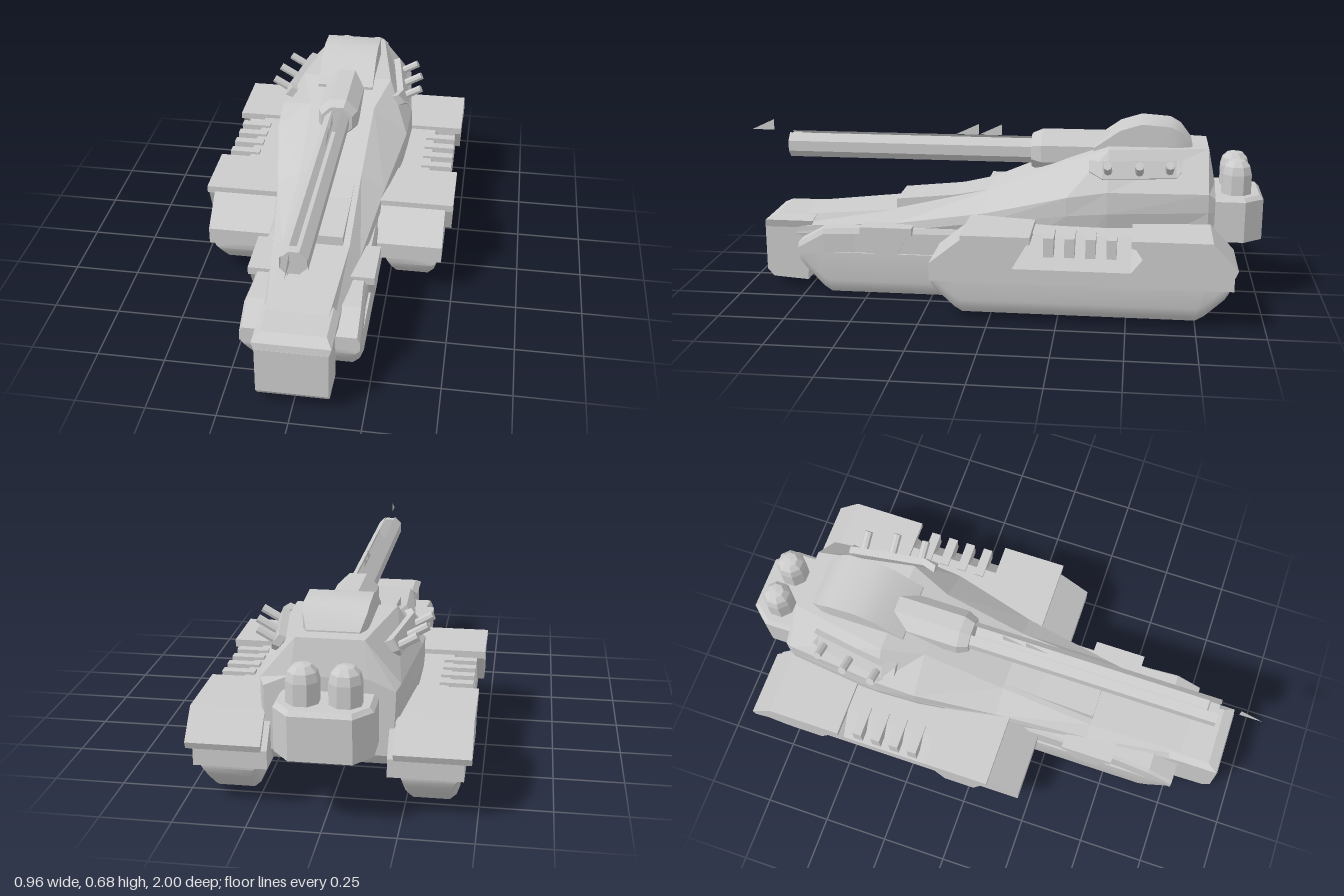
import * as THREE from 'three';
import { toCreasedNormals } from 'three/addons/utils/BufferGeometryUtils.js';

const flat = new THREE.MeshStandardMaterial({ color: 0xcccccc, flatShading: true });
const thin = new THREE.MeshStandardMaterial({ color: 0xcccccc, flatShading: true, side: THREE.DoubleSide });
const smooth = new THREE.MeshStandardMaterial({ color: 0xcccccc });

// Solid through closed rings of [x, y, z] points; winding is turned outward by signed volume.
function loft(rings) {
  const n = rings[0].length, tris = [];
  for (let r = 0; r < rings.length - 1; r++) {
    for (let i = 0; i < n; i++) {
      const j = (i + 1) % n;
      const a = rings[r][i], b = rings[r][j], c = rings[r + 1][j], d = rings[r + 1][i];
      tris.push([a, b, c], [a, c, d]);
    }
  }
  const first = rings[0], last = rings[rings.length - 1];
  for (let i = 1; i < n - 1; i++) {
    tris.push([first[0], first[i + 1], first[i]], [last[0], last[i], last[i + 1]]);
  }
  let volume = 0;
  for (const [a, b, c] of tris) {
    volume += a[0] * (b[1] * c[2] - b[2] * c[1]) + a[1] * (b[2] * c[0] - b[0] * c[2]) + a[2] * (b[0] * c[1] - b[1] * c[0]);
  }
  if (volume < 0) tris.forEach(t => t.reverse());
  const geo = new THREE.BufferGeometry();
  geo.setAttribute('position', new THREE.Float32BufferAttribute(tris.flat(2), 3));
  geo.computeVertexNormals();
  return geo;
}

// Side profile of [z, y] points carried across from x0 to x1.
const prism = (profile, x0, x1) => loft([x0, x1].map(x => profile.map(([z, y]) => [x, y, z])));
// Cross-section of [x, y] points placed at z.
const section = (z, pts, s = 1) => pts.map(([x, y]) => [x * s, y, z]);
// Half cross-section mirrored into a full one.
const mirrored = (z, half) => section(z, [...half, ...half.map(([x, y]) => [-x, y]).reverse()]);

export function createModel() {
  const model = new THREE.Group();
  const add = (name, geo, mat = flat, parent = model) => {
    const mesh = new THREE.Mesh(geo, mat);
    mesh.name = name;
    parent.add(mesh);
    return mesh;
  };

  // Hull and turret as one faceted body
  add('hull', loft([
    mirrored(0.87, [[0.10, 0.12], [0.12, 0.21], [0.12, 0.24], [0.10, 0.28]]),
    mirrored(0.40, [[0.12, 0.10], [0.17, 0.25], [0.165, 0.28], [0.125, 0.325]]),
    mirrored(0.04, [[0.20, 0.13], [0.215, 0.31], [0.21, 0.345], [0.12, 0.41]]),
    mirrored(-0.27, [[0.23, 0.16], [0.265, 0.36], [0.265, 0.43], [0.13, 0.54]]),
    mirrored(-0.42, [[0.23, 0.16], [0.275, 0.375], [0.27, 0.455], [0.18, 0.595]]),
    mirrored(-0.79, [[0.22, 0.16], [0.235, 0.38], [0.235, 0.45], [0.115, 0.595]]),
    mirrored(-0.815, [[0.21, 0.20], [0.22, 0.38], [0.22, 0.43], [0.13, 0.47]]),
  ]));
  add('deckPlate', prism([[0.40, 0.29], [0.40, 0.362], [0.17, 0.385], [0.04, 0.41], [-0.10, 0.44], [-0.10, 0.3]], -0.1, 0.1));

  // Nose block with bevelled cap
  add('noseBlock', prism([[0.925, 0.245], [0.925, 0.065], [0.90, 0.035], [0.76, 0.025], [0.75, 0.245]], -0.127, 0.127));
  const cap = (y, w, z0, z1) => [[-w, y, z0], [w, y, z0], [w, y, z1], [-w, y, z1]];
  add('noseCap', loft([cap(0.24, 0.127, 0.74, 0.925), cap(0.27, 0.137, 0.73, 0.92), cap(0.29, 0.115, 0.72, 0.88)]));

  // Cupola
  const cupola = [[-0.36, 0.112, 0.585], [-0.46, 0.112, 0.655], [-0.54, 0.112, 0.68], [-0.65, 0.112, 0.672], [-0.69, 0.108, 0.65], [-0.73, 0.09, 0.60]];
  add('cupola', toCreasedNormals(loft(cupola.map(([z, w, y]) => mirrored(z, [[w, 0.5], [w, y]]))), 0.6), smooth);

  // Gun: octagonal mantlet, barrel with an open top slot, thin sight fins
  const gun = new THREE.Group();
  gun.name = 'gun';
  model.add(gun);
  const octagon = (r0, r1, z0, z1) => new THREE.CylinderGeometry(r1, r0, z1 - z0, 8)
    .rotateY(Math.PI / 8).rotateX(Math.PI / 2).translate(0, 0.55, (z0 + z1) / 2);
  add('mantlet', octagon(0.084, 0.084, -0.45, -0.16), flat, gun);
  add('mantletCollar', octagon(0.084, 0.066, -0.16, -0.12), flat, gun);
  const tube = new THREE.CylinderGeometry(0.052, 0.052, 0.97, 7, 1, true, Math.PI + Math.PI / 8, Math.PI * 1.75)
    .rotateX(Math.PI / 2).translate(0, 0.55, 0.355);
  add('barrel', tube, thin, gun);
  add('muzzle', octagon(0.047, 0.047, 0.80, 0.835), flat, gun);
  for (const z of [0.91, 0.09, 0.0]) {
    const fin = new THREE.BufferGeometry();
    fin.setAttribute('position', new THREE.Float32BufferAttribute([0, 0.603, z, 0, 0.645, z, 0, 0.603, z + 0.09], 3));
    fin.computeVertexNormals();
    add('sightFin', fin, thin, gun);
  }

  // Rear stowage box with two domed canisters
  const box = y => [[-0.165, y, -0.79], [0.165, y, -0.79], [0.165, y, -0.93], [0.105, y, -1], [-0.105, y, -1], [-0.165, y, -0.93]];
  const lid = [[-0.15, 0.42, -0.79], [0.15, 0.42, -0.79], [0.15, 0.42, -0.925], [0.10, 0.42, -0.985], [-0.10, 0.42, -0.985], [-0.15, 0.42, -0.925]];
  add('rearBox', loft([box(0.25), box(0.405), lid]));
  const dome = [[0.058, 0.40], [0.058, 0.495], [0.05, 0.525], [0.03, 0.545], [0, 0.55]].map(p => new THREE.Vector2(...p));

  for (const s of [1, -1]) {
    const side = new THREE.Group();
    side.name = s > 0 ? 'leftSide' : 'rightSide';
    model.add(side);
    const put = (name, geo, mat) => add(name, geo, mat, side);

    put('canister', new THREE.LatheGeometry(dome, 8).rotateY(Math.PI / 8).translate(s * 0.07, 0, -0.9));

    // Tracks: rounded belly, swept up at both ends
    const track = (name, x0, x1, top, stations) => put(name, toCreasedNormals(loft(stations.map(([z, y]) => {
      const h = top - y, c = Math.min(0.035, h * 0.4);
      return section(z, [[x0, top], [x0, y + c * 1.6], [x0 + c * 0.35, y + c * 0.6], [x0 + c, y],
        [x1 - c, y], [x1 - c * 0.35, y + c * 0.6], [x1, y + c * 1.6], [x1, top]], s);
    })), 0.7), smooth);
    track('outerTrack', 0.24, 0.435, 0.17, [[0.21, 0.13], [0.19, 0.10], [0.13, 0.04], [0.10, 0.022], [-0.75, 0.022], [-0.78, 0.04], [-0.85, 0.11], [-0.865, 0.14]]);
    track('innerTrack', 0.04, 0.213, 0.17, [[0.765, 0.13], [0.75, 0.10], [0.68, 0.02], [0.65, 0], [-0.27, 0], [-0.30, 0.02], [-0.36, 0.09], [-0.38, 0.13]]);

    // Outer fender, recessed between its armour plates
    const full = [[0.20, 0.155], [0.453, 0.155], [0.453, 0.21], [0.453, 0.32], [0.20, 0.32]];
    const recess = full.map(([x, y], i) => (i === 3 ? [0.37, y] : [x, y]));
    const low = full.map(([x, y]) => [x, Math.min(y, 0.22 - (x === 0.453 && y === 0.21 ? 0.02 : 0))]);
    put('outerFender', loft([[0.215, low], [0.09, full], [-0.08, full], [-0.16, recess], [-0.515, recess], [-0.60, full], [-0.80, full], [-0.88, low]]
      .map(([z, pts]) => section(z, pts, s))));
    for (let i = 0; i < 4; i++) {
      put('ventRib', new THREE.BoxGeometry(0.12, 0.07, 0.036).translate(s * 0.395, 0.295, -0.22 - i * 0.075));
    }

    // Armour plates draped over the fender
    const plate = (name, top, flap, x0, x1, lip) => {
      put(name, prism(top, s * x0, s * (x1 + lip)));
      put(name + 'Flap', prism(flap, s * x1, s * (x1 + lip * 0.9)));
    };
    plate('frontPlate', [[0.095, 0.31], [0.095, 0.338], [-0.155, 0.338], [-0.155, 0.31]],
      [[0.095, 0.33], [0.04, 0.20], [-0.08, 0.20], [-0.155, 0.33]], 0.20, 0.452, 0.03);
    plate('rearPlate', [[-0.515, 0.31], [-0.515, 0.336], [-0.80, 0.336], [-0.89, 0.24], [-0.88, 0.215], [-0.79, 0.31]],
      [[-0.515, 0.33], [-0.60, 0.20], [-0.75, 0.20], [-0.885, 0.235], [-0.80, 0.33]], 0.22, 0.452, 0.025);

    // Inner fender and its plate
    const inner = (z, y, x = 0.213) => section(z, [[0.04, 0.15], [x, 0.15], [x, y - 0.02], [x - 0.01, y], [0.04, y]], s);
    put('innerFender', loft([inner(0.77, 0.205), inner(0.67, 0.262), inner(0.55, 0.265, 0.205), inner(0.1, 0.275, 0.205), inner(-0.3, 0.28)]));
    plate('innerPlate', [[0.52, 0.25], [0.52, 0.28], [0.32, 0.28], [0.32, 0.25]],
      [[0.52, 0.275], [0.46, 0.17], [0.38, 0.17], [0.32, 0.275]], 0.14, 0.205, 0.027);

    // Launcher bracket and three tubes
    put('launcherBracket', loft([[-0.35, 0.03], [-0.40, 0], [-0.67, -0.04], [-0.69, -0.045]].map(([z, d], i) => {
      const x = d > 0 ? 0.235 : 0.25 + d, y = i === 0 || i === 3 ? 0.53 : 0.505;
      return section(z, [[x - 0.04, 0.555], [x - 0.015, 0.565], [x + 0.012, y], [x - 0.015, y - 0.01]], s);
    })));
    for (const [x, z] of [[0.262, -0.42], [0.255, -0.535], [0.23, -0.645]]) {
      const launcher = put('launcherTube', new THREE.CylinderGeometry(0.016, 0.016, 0.1, 8));
      launcher.rotation.z = -s * 1.05;
      launcher.position.set(s * x, 0.54, z);
    }
  }
  return model;
}
